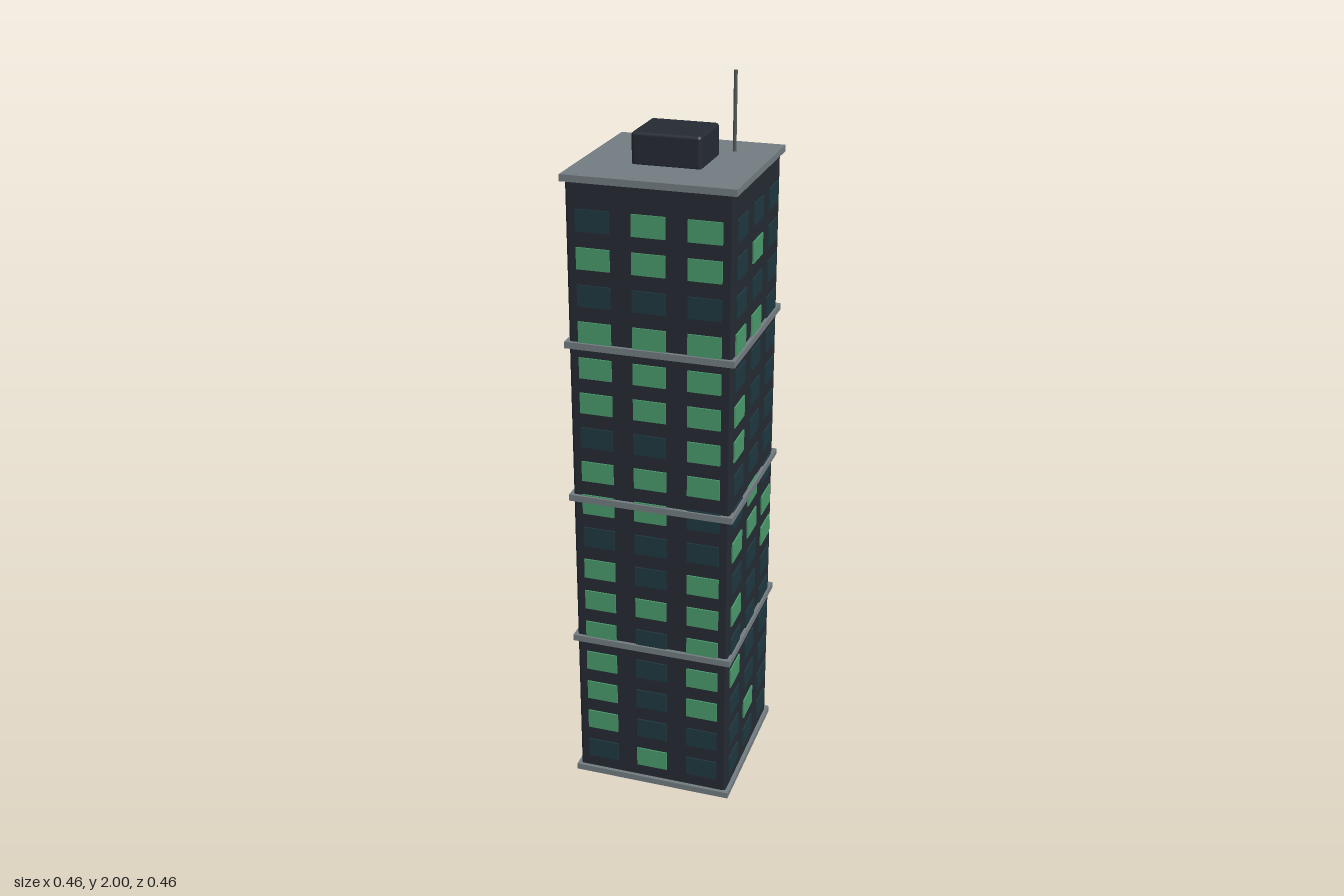
import * as THREE from 'three';
import { RoundedBoxGeometry } from 'three/addons/geometries/RoundedBoxGeometry.js';

const paint = (color) => new THREE.MeshStandardMaterial({ color });

// Lit windows per facade, top row first, left to right seen from outside
const LIT = {
  front: '011 111 000 111 111 111 001 111 110 000 101 111 101 101 101 100 010',
  right: '000 010 000 110 000 100 100 000 010 111 001 100 000 100 000 010 000',
  back: '010 001 110 001 100 010 000 100 010 010 000 110 000 001 001 000 000',
  left: '110 000 001 100 111 010 000 100 010 101 010 100 000 100 010 001 110',
};

export function createModel() {
  const model = new THREE.Group();
  model.name = 'officeTower';
  const wall = paint(0x252a33);
  const slab = paint(0x737d82);
  const darkGlass = paint(0x1f3840);
  const litGlass = paint(0x4a9a6c);
  const metal = paint(0x55585a);

  const add = (parent, name, geometry, material, x, y, z) => {
    const mesh = new THREE.Mesh(geometry, material);
    mesh.name = name;
    mesh.position.set(x, y, z);
    parent.add(mesh);
    return mesh;
  };

  // Main shaft
  add(model, 'shaft', new RoundedBoxGeometry(0.44, 1.77, 0.44, 2, 0.008), wall, 0, 0.895, 0);

  // Base slab, three belts and roof slab
  const beltNames = ['baseSlab', 'lowerBelt', 'middleBelt', 'upperBelt', 'roofSlab'];
  const beltGeometry = new THREE.BoxGeometry(0.46, 0.018, 0.46);
  beltNames.forEach((name, i) => add(model, name, beltGeometry, slab, 0, 0.009 + i * 0.443, 0));

  // Window grid on each facade, turned about the vertical axis
  const windowGeometry = new THREE.BoxGeometry(0.09, 0.058, 0.012);
  Object.entries(LIT).forEach(([side, pattern], i) => {
    const facade = new THREE.Group();
    facade.name = side + 'Facade';
    facade.rotation.y = i * Math.PI / 2;
    pattern.split(' ').forEach((row, r) => {
      [...row].forEach((state, c) => {
        const lit = state === '1';
        add(facade, lit ? 'litWindow' : 'darkWindow', windowGeometry,
          lit ? litGlass : darkGlass, (c - 1) * 0.148, 1.674 - r * 0.0995, 0.218);
      });
    });
    model.add(facade);
  });

  // Rooftop plant room and antenna
  add(model, 'plantRoom', new RoundedBoxGeometry(0.186, 0.09, 0.164, 3, 0.01), wall, 0, 1.828, 0);
  add(model, 'antenna', new THREE.CylinderGeometry(0.005, 0.005, 0.21, 8), metal, 0.121, 1.895, -0.123);

  return model;
}
